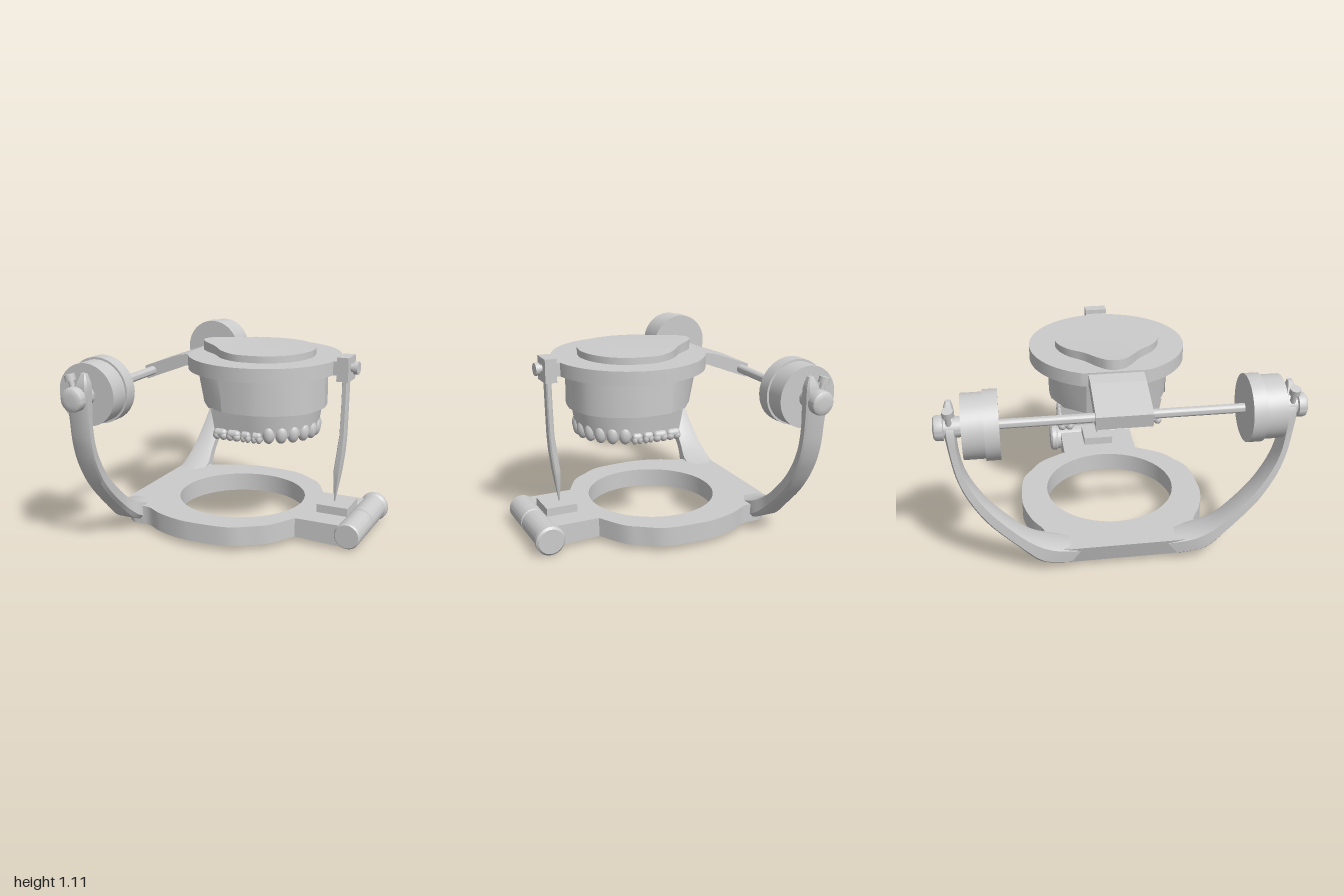
import * as THREE from 'three';
import { toCreasedNormals, mergeGeometries } from 'three/addons/utils/BufferGeometryUtils.js';
import { RoundedBoxGeometry } from 'three/addons/geometries/RoundedBoxGeometry.js';

const grey = new THREE.MeshStandardMaterial({ color: 0xcccccc });

export function createModel() {
  const model = new THREE.Group();
  const V2 = (p) => new THREE.Vector2(p[0], p[1]);

  const add = (name, geo, x = 0, y = 0, z = 0) => {
    const mesh = new THREE.Mesh(geo, grey);
    mesh.name = name;
    mesh.position.set(x, y, z);
    model.add(mesh);
    return mesh;
  };
  const box = (name, x0, x1, y0, y1, w) =>
    add(name, new THREE.BoxGeometry(x1 - x0, y1 - y0, w), (x0 + x1) / 2, (y0 + y1) / 2, 0);

  // Turned part along z (profile pairs are radius, z)
  const turned = (profile, dir = 1) => {
    const pts = profile.map(([r, z]) => new THREE.Vector2(r, z * dir));
    if (dir < 0) pts.reverse();
    return toCreasedNormals(new THREE.LatheGeometry(pts, 48).rotateX(Math.PI / 2), 0.6);
  };

  // Closed plan outline mirrored from its +z half (pairs are x, z)
  const plan = (half) => new THREE.Shape([
    ...half.map(V2), ...half.slice().reverse().filter((p) => p[1] > 1e-4).map(([x, z]) => new THREE.Vector2(x, -z)),
  ]);
  const smooth = (pts, n = 40) =>
    new THREE.SplineCurve(pts.map(V2)).getPoints(n).map((p) => [p.x, p.y]);
  const slab = (shape, y0, y1, bend = (x, y, z) => [x, y, z]) => {
    const g = new THREE.ExtrudeGeometry(shape, { depth: y1 - y0, bevelEnabled: false, curveSegments: 48 });
    g.rotateX(-Math.PI / 2).translate(0, y0, 0);
    const p = g.attributes.position;
    for (let i = 0; i < p.count; i++) p.setXYZ(i, ...bend(p.getX(i), p.getY(i), p.getZ(i)));
    return toCreasedNormals(g, 0.6);
  };
  // Side profile in x, y extruded across z
  const across = (pts, w) => new THREE.ExtrudeGeometry(new THREE.Shape(pts.map(V2)),
    { depth: w, bevelEnabled: false }).translate(0, 0, -w / 2);

  // Skin through bevelled sections; at(i, u, v) gives the point of section i
  const section = [[0, 0.12], [0.22, 0], [0.78, 0], [1, 0.12], [1, 0.8], [0.85, 1], [0.15, 1], [0, 0.8]];
  const loft = (n, at, side = 1) => {
    const pos = [], index = [], m = section.length;
    for (let i = 0; i <= n; i++) for (const [u, v] of section) pos.push(...at(i, u, v));
    const tri = (a, b, c) => (side > 0 ? index.push(a, b, c) : index.push(a, c, b));
    for (let i = 0; i < n; i++) for (let j = 0; j < m; j++) {
      const a = i * m + j, b = i * m + (j + 1) % m;
      tri(a, a + m, b);
      tri(b, a + m, b + m);
    }
    for (let j = 1; j < m - 1; j++) {
      tri(0, j, j + 1);
      tri(n * m, n * m + j + 1, n * m + j);
    }
    const g = new THREE.BufferGeometry();
    g.setAttribute('position', new THREE.Float32BufferAttribute(pos, 3));
    g.setIndex(index);
    return toCreasedNormals(g, 0.6);
  };

  // Base plate with a round opening, its lower back edge drawn in
  const plate = plan([[-0.695, 0], ...smooth([[-0.695, 0.3], [-0.68, 0.39], [-0.62, 0.435], [-0.55, 0.44],
    [-0.48, 0.445], [-0.38, 0.5], [-0.25, 0.54], [-0.13, 0.55], [0.08, 0.53], [0.2, 0.46], [0.29, 0.39],
    [0.38, 0.24]], 60), [0.4, 0.24], [0.4, 0]]);
  plate.holes.push(new THREE.Path().absarc(-0.07, 0, 0.39, 0, Math.PI * 2, false));
  add('basePlate', slab(plate, 0.035, 0.15, (x, y, z) => [x < -0.55 && y < 0.1 ? x - (x + 0.55) * 0.25 : x, y, z]));
  add('baseNeck', across([[0.38, 0.035], [0.63, 0.022], [0.68, 0.025], [0.68, 0.15], [0.38, 0.15]], 0.48));
  box('pinRest', 0.46, 0.65, 0.14, 0.2, 0.19);

  // Front foot roller with a centre groove and end cap
  add('footRoller', turned([[0, -0.26], [0.078, -0.26], [0.078, -0.008], [0.07, -0.004], [0.07, 0.004],
    [0.078, 0.008], [0.078, 0.24], [0.07, 0.25], [0, 0.25]]), 0.7, 0.092, 0);
  add('footCap', turned([[0, -0.31], [0.075, -0.31], [0.088, -0.298], [0.088, -0.272], [0.078, -0.26], [0, -0.26]]),
    0.7, 0.092, 0);

  // Curved side arm: inner edge (z, y), outer edge (z, y), back and front x
  const rows = [
    [0.24, 0.14, 0.32, 0.04, -0.69, -0.53], [0.4, 0.172, 0.47, 0.075, -0.708, -0.53],
    [0.54, 0.245, 0.59, 0.185, -0.705, -0.562], [0.7, 0.4, 0.75, 0.35, -0.695, -0.565],
    [0.79, 0.52, 0.85, 0.51, -0.687, -0.56], [0.85, 0.64, 0.9, 0.64, -0.678, -0.552],
    [0.878, 0.77, 0.925, 0.77, -0.67, -0.545], [0.885, 0.92, 0.943, 0.92, -0.662, -0.535],
    [0.887, 1.0, 0.943, 1.0, -0.61, -0.533], [0.897, 1.06, 0.925, 1.06, -0.58, -0.55],
  ];
  const column = (i) => new THREE.SplineCurve(rows.map((r) => new THREE.Vector2(r[i], r[i + 1])));
  const inner = column(0), outer = column(2), sides = column(4), steps = 44;
  const armGeometry = (side) => loft(steps, (i, u, v) => {
    const a = inner.getPoint(i / steps), b = outer.getPoint(i / steps), s = sides.getPoint(i / steps);
    return [s.x + (s.y - s.x) * u, a.y + (b.y - a.y) * v, side * (a.x + (b.x - a.x) * v)];
  }, side);

  // Pivot hardware on both sides
  const px = -0.602, py = 0.925;
  for (const side of [1, -1]) {
    const tag = side > 0 ? 'left' : 'right';
    add(tag + 'Arm', armGeometry(side));
    add(tag + 'Drum', turned([[0, 0.658], [0.187, 0.658], [0.187, 0.735], [0.175, 0.735], [0.175, 0.85], [0, 0.85]], side),
      px, py, 0);
    add(tag + 'PivotKnob', turned([[0, 0.84], [0.055, 0.84], [0.055, 0.942], [0.068, 0.947], [0.068, 0.978],
      [0.064, 0.99], [0.054, 0.997], [0.03, 1], [0, 1]], side), px, py, 0);
    const screw = mergeGeometries([
      new THREE.CylinderGeometry(0.03, 0.03, 0.035, 24).translate(0, 0.115, 0),
      new THREE.CylinderGeometry(0.016, 0.016, 0.08, 16).translate(0, 0.07, 0),
    ]);
    add(tag + 'LockScrew', screw, -0.625, 0.92, side * 0.915).rotation.z = 0.25;
  }
  add('hingeRod', turned([[0, -0.67], [0.026, -0.67], [0.026, 0.67], [0, 0.67]]), px, py, 0);

  // Upper ring plate, cut flat at the back, with a bent rear tongue
  const disc = new THREE.Shape().absarc(0.08, 0, 0.455, -2.72, 2.72, false);
  add('upperPlate', slab(disc, 0.98, 1.06));
  add('rearTongue', across([[-0.25, 0.985], [-0.37, 0.975], [-0.42, 0.955], [-0.64, 0.87], [-0.655, 0.95],
    [-0.42, 1.035], [-0.34, 1.05], [-0.25, 1.05]], 0.31));

  // Teardrop mounting pad, rising towards the back
  const pad = plan(smooth([[-0.315, 0], [-0.3, 0.05], [-0.25, 0.1], [-0.17, 0.16], [-0.09, 0.245], [0, 0.293],
    [0.08, 0.303], [0.2, 0.28], [0.3, 0.212], [0.362, 0.11], [0.385, 0]]));
  add('mountingPad', slab(pad, 1.05, 1.1, (x, y, z) => [x, y > 1.08 && x < 0 ? y - x * 0.06 : y, z]));

  // Cast block, sloped inwards at the back
  const block = plan([[-0.29, 0], [-0.29, 0.16], [-0.2, 0.28],
    ...smooth([[-0.08, 0.335], [0.05, 0.347], [0.18, 0.335], [0.32, 0.27], [0.42, 0.16], [0.46, 0]])]);
  add('castBlock', slab(block, 0.765, 0.985, (x, y, z) => [x < -0.05 ? x + (0.985 - y) * 0.2 : x, y, z]));

  // Horseshoe gum ridge
  const archPoints = (a, w, back) => {
    const pts = [[back, w]];
    for (let i = 0; i <= 20; i++) {
      const t = Math.PI / 2 - (i / 20) * Math.PI;
      pts.push([0.1 + a * Math.cos(t), w * Math.sin(t)]);
    }
    pts.push([back, -w]);
    return pts;
  };
  const gum = new THREE.Shape([...archPoints(0.33, 0.302, -0.13), ...archPoints(0.17, 0.16, -0.13).reverse()].map(V2));
  add('gumRidge', slab(gum, 0.625, 0.768, (x, y, z) => {
    const k = 1 - (0.768 - y) * 0.5;
    return [0.1 + (x - 0.1) * k, y, z * k];
  }));

  // Teeth placed along the arch by distance from the middle
  const arch = new THREE.CatmullRomCurve3(archPoints(0.293, 0.266, -0.1).map(([x, z]) => new THREE.Vector3(x, 0, z)));
  const length = arch.getLength();
  const tooth = (name, geo, d, y) => {
    const u = THREE.MathUtils.clamp(0.5 + d / length, 0, 1);
    const p = arch.getPointAt(u), t = arch.getTangentAt(u);
    add(name, geo, p.x, y, p.z).rotation.y = Math.atan2(-t.z, t.x);
  };
  const incisor = new THREE.SphereGeometry(1, 20, 14).scale(0.037, 0.056, 0.034);
  const cusps = [[-1, -1], [-1, 1], [1, -1], [1, 1]].map(([i, k]) =>
    new THREE.SphereGeometry(1, 14, 10).scale(0.025, 0.027, 0.025).translate(i * 0.021, -0.006, k * 0.022));
  const molar = mergeGeometries([
    new RoundedBoxGeometry(0.086, 0.05, 0.088, 4, 0.024).translate(0, 0.008, 0).toNonIndexed(),
    ...cusps.map((c) => c.toNonIndexed()),
  ]);
  const premolar = molar.clone().scale(0.7, 1, 0.85);
  for (const s of [-1, 1]) {
    for (let i = 0; i < 5; i++) tooth('frontTooth', incisor, s * (0.036 + i * 0.072), 0.64);
    tooth('premolar', premolar, s * 0.39, 0.619);
    tooth('premolar', premolar, s * 0.455, 0.619);
    tooth('molar', molar, s * 0.53, 0.619);
    tooth('molar', molar, s * 0.615, 0.619);
  }

  // Front guide pin: y, back x, front x, half width
  const pinRows = [[0.2, 0.535, 0.542, 0.004], [0.35, 0.533, 0.567, 0.027], [0.4, 0.534, 0.575, 0.031],
    [0.52, 0.55, 0.591, 0.032], [0.62, 0.563, 0.598, 0.032], [0.8, 0.569, 0.602, 0.032], [1.07, 0.573, 0.607, 0.032]];
  add('guidePin', loft(pinRows.length - 1, (i, u, v) => {
    const [y, x0, x1, w] = pinRows[i];
    return [x0 + (x1 - x0) * u, y, (2 * v - 1) * w];
  }));

  // Pin holder and thumbscrew
  box('pinBracket', 0.5, 0.56, 0.98, 1.06, 0.13);
  box('pinHolder', 0.55, 0.62, 0.945, 1.085, 0.13);
  const thumb = mergeGeometries([
    new THREE.CylinderGeometry(0.025, 0.025, 0.04, 20),
    new THREE.CylinderGeometry(0.037, 0.037, 0.026, 28).translate(0, -0.029, 0),
  ]).rotateZ(Math.PI / 2);
  add('thumbScrew', thumb, 0.62, 1.02, 0);

  return model;
}
